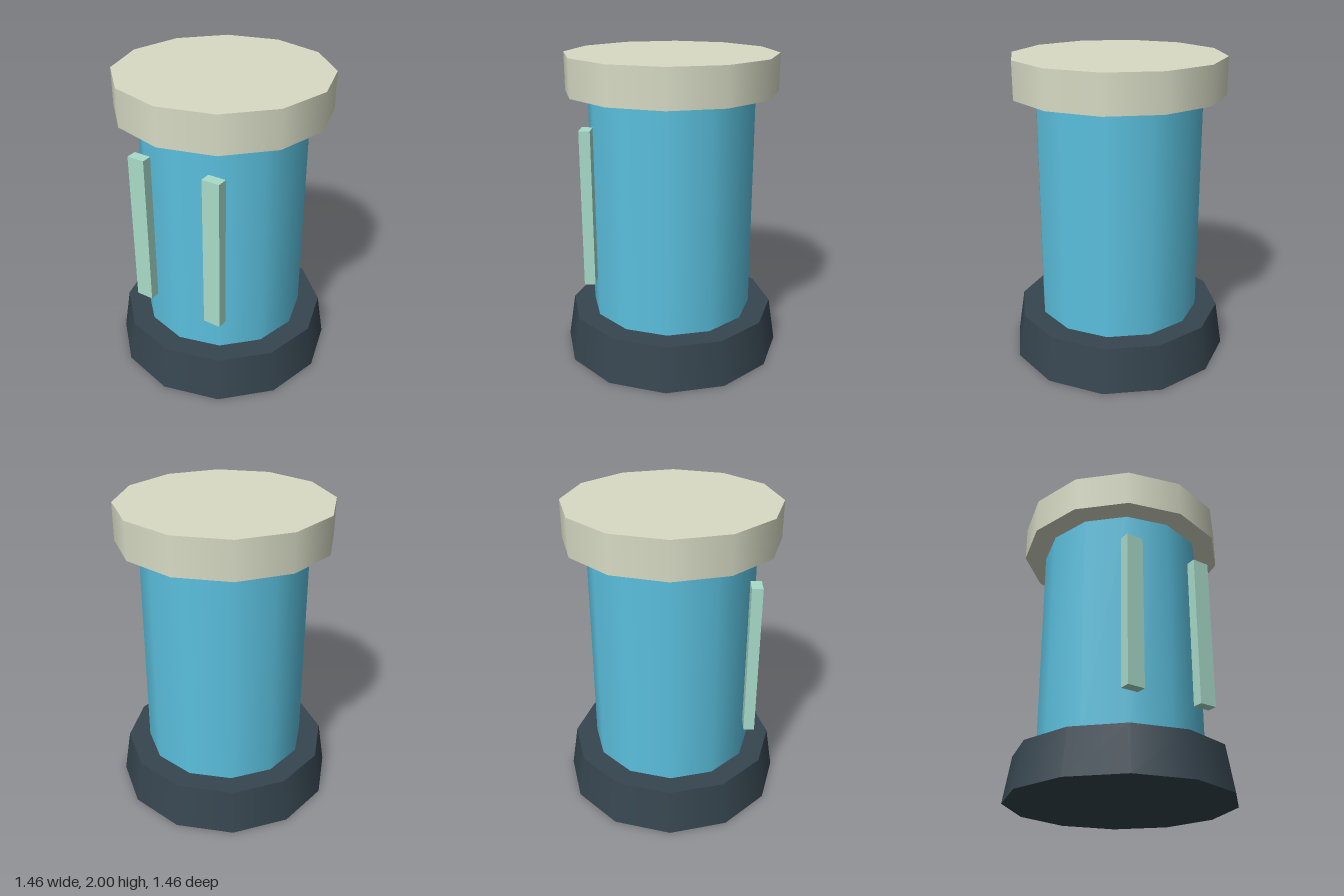
import * as THREE from 'three';

const material = (name, color) => {
  const m = new THREE.MeshStandardMaterial({ color });
  m.name = name;
  return m;
};

export function createModel() {
  const group = new THREE.Group();
  group.name = 'canister';

  const charcoal = material('charcoal', 0x36454f);
  const blue = material('blue', 0x5bc0de);
  const cream = material('cream', 0xd8dbc5);
  const mint = material('mint', 0xa9dcca);

  // Twelve-sided drum between two heights
  const drum = (name, rTop, rBottom, y0, y1, mat) => {
    const geometry = new THREE.CylinderGeometry(rTop, rBottom, y1 - y0, 12);
    const mesh = new THREE.Mesh(geometry, mat);
    mesh.name = name;
    mesh.position.y = (y0 + y1) / 2;
    group.add(mesh);
  };

  drum('base', 0.683, 0.73, 0, 0.295, charcoal);
  drum('body', 0.538, 0.538, 0.295, 1.76, blue);
  drum('cap', 0.683, 0.683, 1.76, 2, cream);

  // Pair of upright strips on the front
  for (const side of [-1, 1]) {
    const strip = new THREE.Mesh(new THREE.BoxGeometry(0.118, 1.02, 0.07), mint);
    strip.name = side > 0 ? 'leftStrip' : 'rightStrip';
    strip.position.set(side * 0.267, 1.05, 0.515);
    group.add(strip);
  }

  return group;
}
